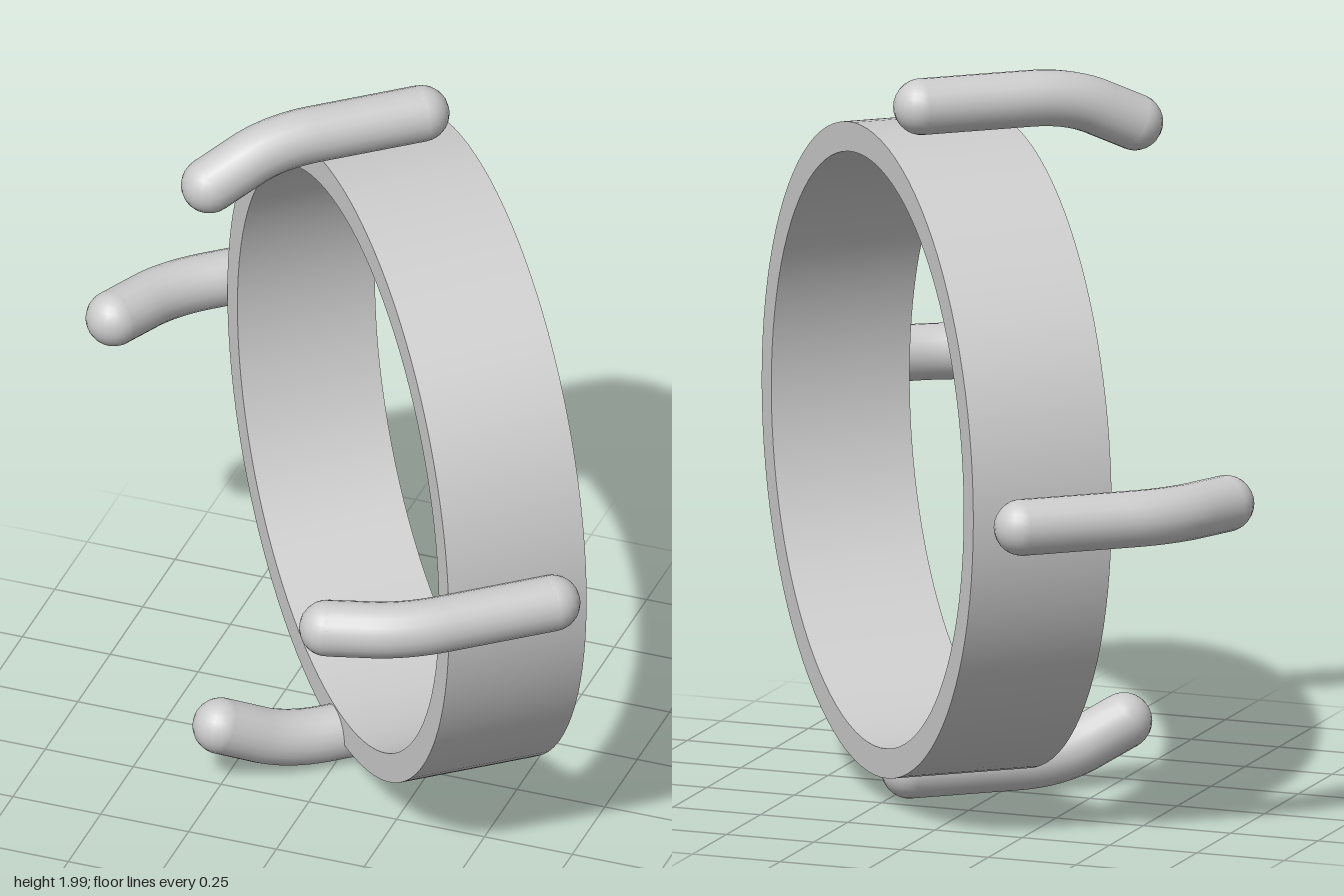
import * as THREE from 'three';
import { toCreasedNormals } from 'three/addons/utils/BufferGeometryUtils.js';

const material = new THREE.MeshStandardMaterial({ color: 0xcccccc });
const OUTER = 0.88, INNER = 0.8, HALF_WIDTH = 0.195, ROD = 0.076;

function add(parent, name, geometry) {
  const mesh = new THREE.Mesh(geometry, material);
  mesh.name = name;
  parent.add(mesh);
  return mesh;
}

// Flat band with a rectangular section, turned so its axis lies along z
function bandGeometry() {
  const profile = [
    [INNER, -HALF_WIDTH], [OUTER, -HALF_WIDTH], [OUTER, HALF_WIDTH],
    [INNER, HALF_WIDTH], [INNER, -HALF_WIDTH],
  ].map(([r, y]) => new THREE.Vector2(r, y));
  const lathe = new THREE.LatheGeometry(profile, 96).rotateX(Math.PI / 2);
  return toCreasedNormals(lathe, 0.6);
}

// Round-ended rod running along the axis, its front end bent toward the centre
function makeProng(name, x, y) {
  const prong = new THREE.Group();
  prong.name = name;
  const radius = Math.hypot(x, y);
  const at = (z, inward) => {
    const k = 1 - inward / radius;
    return new THREE.Vector3(x * k, y * k, z);
  };
  const back = at(-0.085, 0), tip = at(0.52, 0.09);
  const bendStart = at(0.22, 0), bendEnd = at(0.4, 0.033);
  const path = new THREE.CurvePath();
  path.add(new THREE.LineCurve3(back, bendStart));
  path.add(new THREE.QuadraticBezierCurve3(bendStart, at(0.32, 0), bendEnd));
  path.add(new THREE.LineCurve3(bendEnd, tip));
  add(prong, 'prongRod', new THREE.TubeGeometry(path, 28, ROD, 20, false));
  for (const end of [back, tip]) {
    add(prong, 'prongEnd', new THREE.SphereGeometry(ROD, 20, 14)).position.copy(end);
  }
  return prong;
}

export function createModel() {
  const model = new THREE.Group();
  model.name = 'prongedRing';

  // Ring stands upright, turned about the vertical
  const ring = new THREE.Group();
  ring.name = 'ring';
  ring.position.set(0.152, 0.965, -0.095);
  ring.rotation.y = -0.874;
  model.add(ring);

  add(ring, 'band', bandGeometry());

  // Four prongs around the band, slightly off its centre
  const prongs = [
    ['topProng', -0.125, 0.96],
    ['bottomProng', -0.025, -0.88],
    ['leftProng', 0.914, 0.035],
    ['rightProng', -0.961, -0.01],
  ];
  for (const [name, x, y] of prongs) ring.add(makeProng(name, x, y));

  return model;
}
